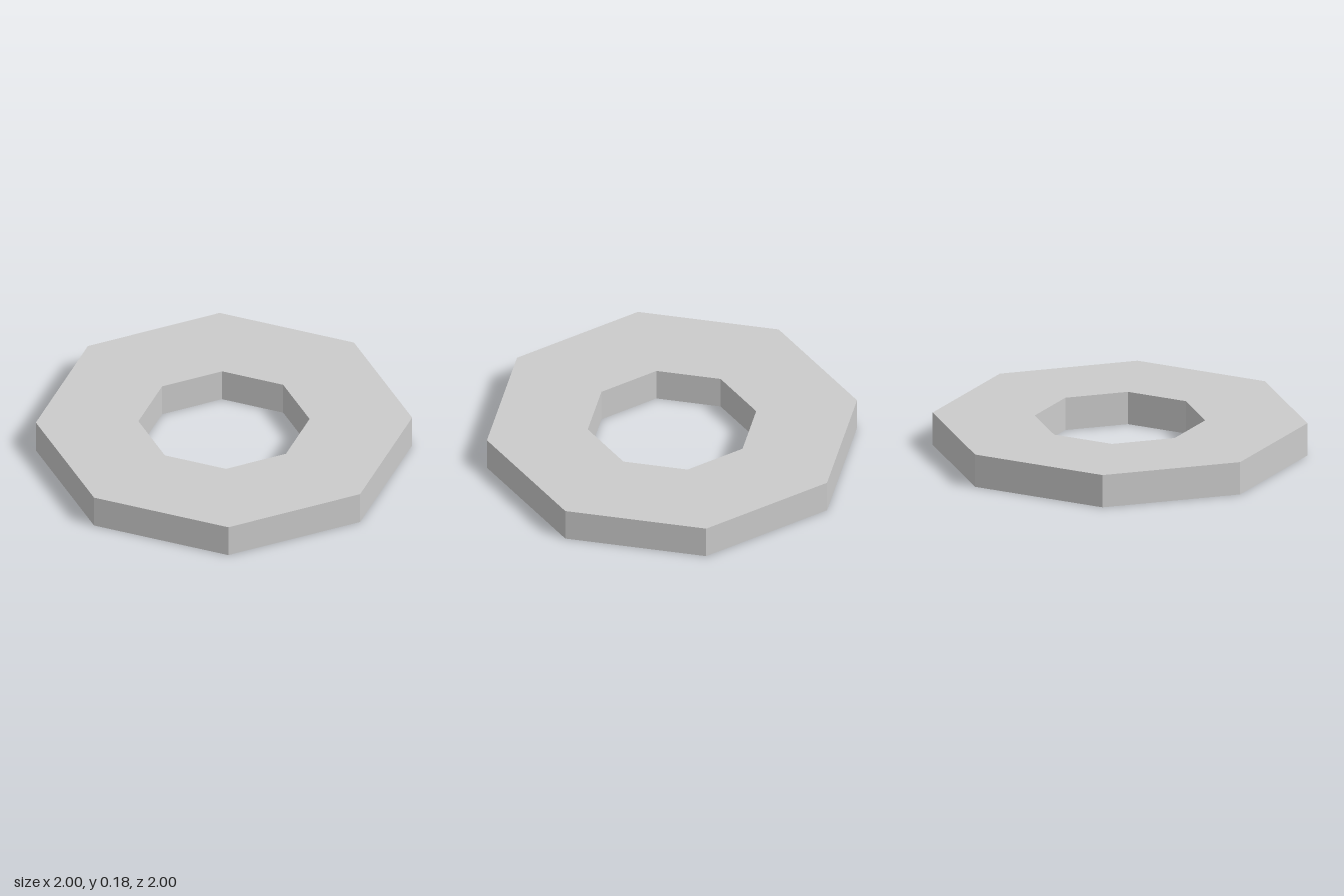
import * as THREE from 'three';

const SIDES = 8;
const OUTER_RADIUS = 1;
const INNER_RADIUS = 0.455;
const HEIGHT = 0.18;

// Corners of a regular polygon with a corner on each axis
function polygon(radius) {
  return Array.from({ length: SIDES }, (_, i) => {
    const a = (i / SIDES) * Math.PI * 2;
    return new THREE.Vector2(Math.cos(a) * radius, Math.sin(a) * radius);
  });
}

export function createModel() {
  const group = new THREE.Group();
  group.name = 'octagonalWasher';

  // Flat octagonal ring with an octagonal hole, laid on the ground
  const shape = new THREE.Shape(polygon(OUTER_RADIUS));
  shape.holes.push(new THREE.Path(polygon(INNER_RADIUS)));
  const geometry = new THREE.ExtrudeGeometry(shape, { depth: HEIGHT, bevelEnabled: false });
  geometry.rotateX(-Math.PI / 2);

  const material = new THREE.MeshStandardMaterial({ color: 0xcccccc, flatShading: true });
  const ring = new THREE.Mesh(geometry, material);
  ring.name = 'ring';
  group.add(ring);
  return group;
}
